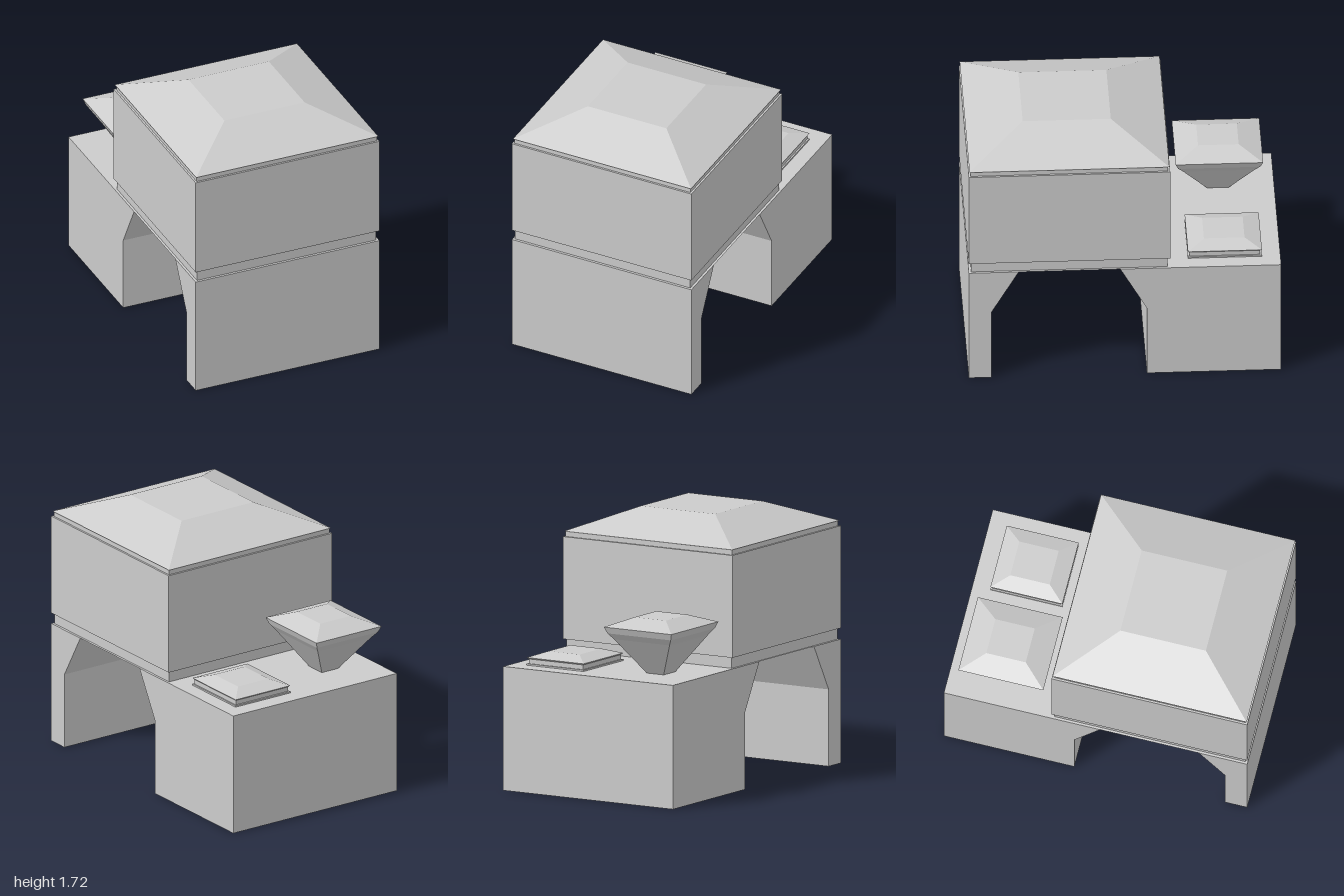
import * as THREE from 'three';

const HALF_WIDTH = 0.643;
const DECK = 0.805;
const grey = new THREE.MeshStandardMaterial({ color: 0xcccccc, flatShading: true, side: THREE.DoubleSide });

function part(name, geometry) {
  const flat = geometry.index ? geometry.toNonIndexed() : geometry;
  flat.computeVertexNormals();
  const mesh = new THREE.Mesh(flat, grey);
  mesh.name = name;
  return mesh;
}

// Four-sided turned shape: profile of [half side, height] from bottom to top
function squareTurned(name, profile, x, z, scaleX = 1, scaleZ = 1) {
  const points = profile.map(([r, y]) => new THREE.Vector2(r * Math.SQRT2, y));
  const geometry = new THREE.LatheGeometry(points, 4, Math.PI / 4);
  geometry.scale(scaleX, 1, scaleZ).translate(x, 0, z);
  return part(name, geometry);
}

// Sheet running across the full width along an open path of [z, y] points
function sheet(name, path) {
  const positions = [], index = [];
  path.forEach(([z, y], i) => {
    positions.push(HALF_WIDTH, y, z, -HALF_WIDTH, y, z);
    const a = 2 * i;
    if (i < path.length - 1) index.push(a, a + 2, a + 1, a + 1, a + 2, a + 3);
  });
  const geometry = new THREE.BufferGeometry();
  geometry.setAttribute('position', new THREE.Float32BufferAttribute(positions, 3));
  geometry.setIndex(index);
  return part(name, geometry);
}

// Hollow block with an open underside
function block(name, path) {
  const group = new THREE.Group();
  group.name = name;
  group.add(sheet(name + 'Shell', path));
  for (const side of [1, -1]) {
    const shape = new THREE.Shape(path.map(([z, y]) => new THREE.Vector2(-side * z, y)));
    const geometry = new THREE.ShapeGeometry(shape);
    geometry.rotateY(side * Math.PI / 2).translate(side * HALF_WIDTH, 0, 0);
    group.add(part(name + (side > 0 ? 'LeftSide' : 'RightSide'), geometry));
  }
  return group;
}

export function createModel() {
  const model = new THREE.Group();
  model.name = 'gatehouse';

  // Lower storey: two blocks with a chamfered passage between them
  model.add(block('frontPier', [[1, 0], [1, DECK], [0.68, DECK], [0.855, 0.5], [0.855, 0]]));
  model.add(block('rearBlock', [[-0.14, 0], [-0.14, 0.5], [0.03, DECK], [-1, DECK], [-1, 0]]));
  model.add(sheet('passageCeiling', [[0.68, DECK], [0.03, DECK]]));

  // Upper storey with a recessed neck below it
  const towerZ = 0.355, hx = HALF_WIDTH, hz = 0.645;
  model.add(squareTurned('neck', [[0.975, DECK], [0.975, 0.877]], 0, towerZ, hx, hz));
  model.add(squareTurned('upperStorey',
    [[0.97, 0.877], [1, 0.877], [1, 1.542], [0.97, 1.542]], 0, towerZ, hx, hz));

  // Hipped roof with a flat top on a recessed band
  model.add(squareTurned('roof',
    [[0.98, 1.542], [0.98, 1.575], [0.992, 1.577], [0.437, 1.722], [0, 1.722]], 0, towerZ, hx, hz));

  // Roof vents on the rear block
  model.add(squareTurned('tallVent',
    [[0.07, DECK], [0.223, 1.025], [0.23, 1.035], [0.262, 1.075], [0.28, 1.117], [0.13, 1.172], [0, 1.172]],
    -0.325, -0.64, 0.915));
  model.add(squareTurned('lowVent',
    [[0.237, DECK], [0.237, 0.815], [0.226, 0.815], [0.226, 0.845], [0.237, 0.855], [0.13, 0.89], [0, 0.89]],
    0.325, -0.645, 0.91));

  return model;
}
